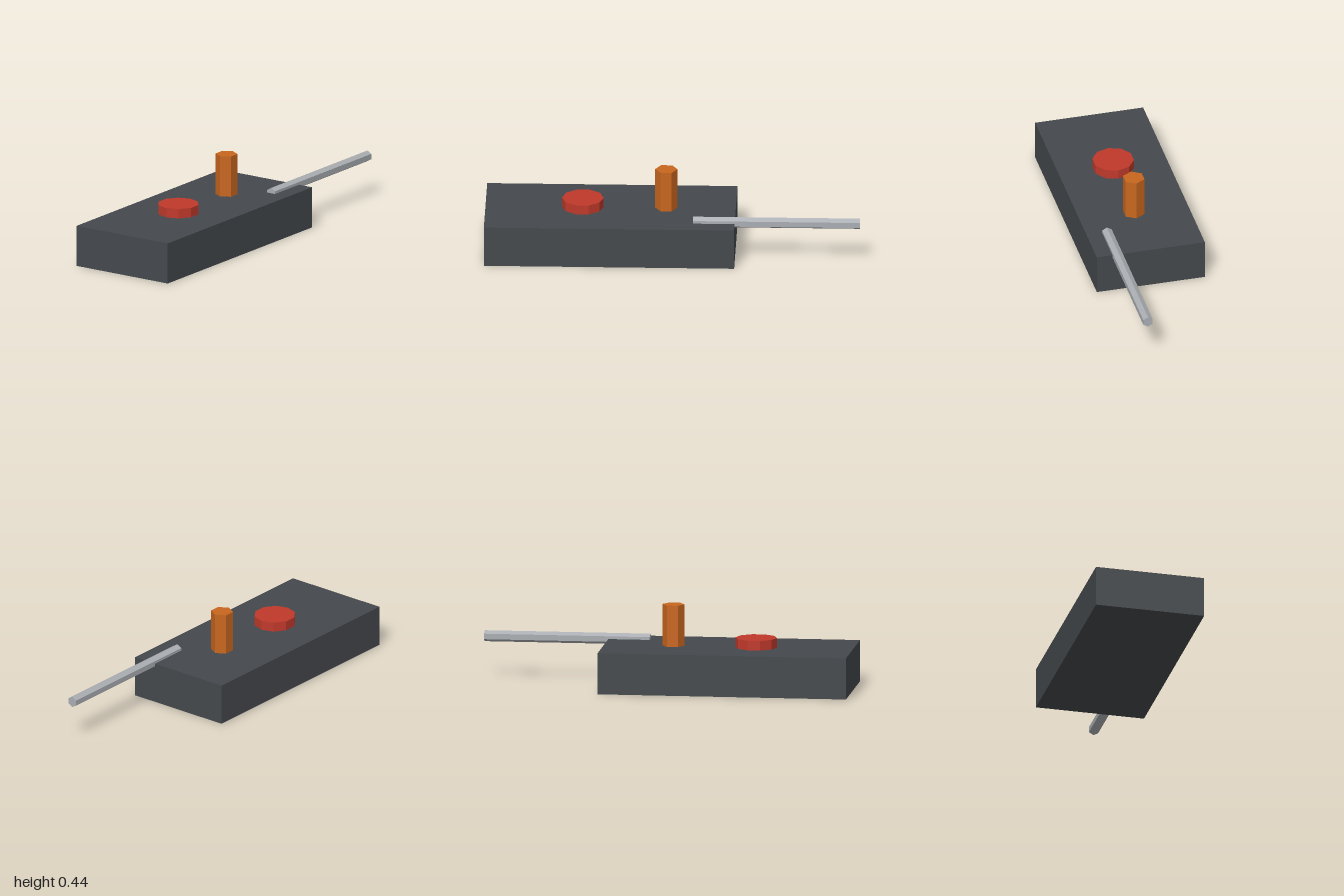
import * as THREE from 'three';

const material = (color) => new THREE.MeshStandardMaterial({ color, flatShading: true });

function addPart(group, name, geometry, color, x, y, z) {
  const mesh = new THREE.Mesh(geometry, material(color));
  mesh.name = name;
  mesh.position.set(x, y, z);
  group.add(mesh);
  return mesh;
}

export function createModel() {
  const group = new THREE.Group();
  group.name = 'remoteControl';

  // Slab-shaped housing
  addPart(group, 'body', new THREE.BoxGeometry(0.593, 0.222, 1.333), 0x45494d, 0, 0.111, 0.3335);

  // Ten-sided push button
  addPart(group, 'button', new THREE.CylinderGeometry(0.111, 0.111, 0.052, 10), 0xc0392b, 0, 0.248, 0.4815);

  // Upright six-sided control stick
  addPart(group, 'stick', new THREE.CylinderGeometry(0.0593, 0.0593, 0.223, 6), 0xc8661e, 0, 0.3335, 0.037);

  // Six-sided antenna, half sunk into the top and reaching out behind
  const antenna = addPart(group, 'antenna', new THREE.CylinderGeometry(0.0296, 0.0296, 0.889, 6), 0xaaaeb2, 0.185, 0.222, -0.5555);
  antenna.rotation.x = Math.PI / 2;

  return group;
}
